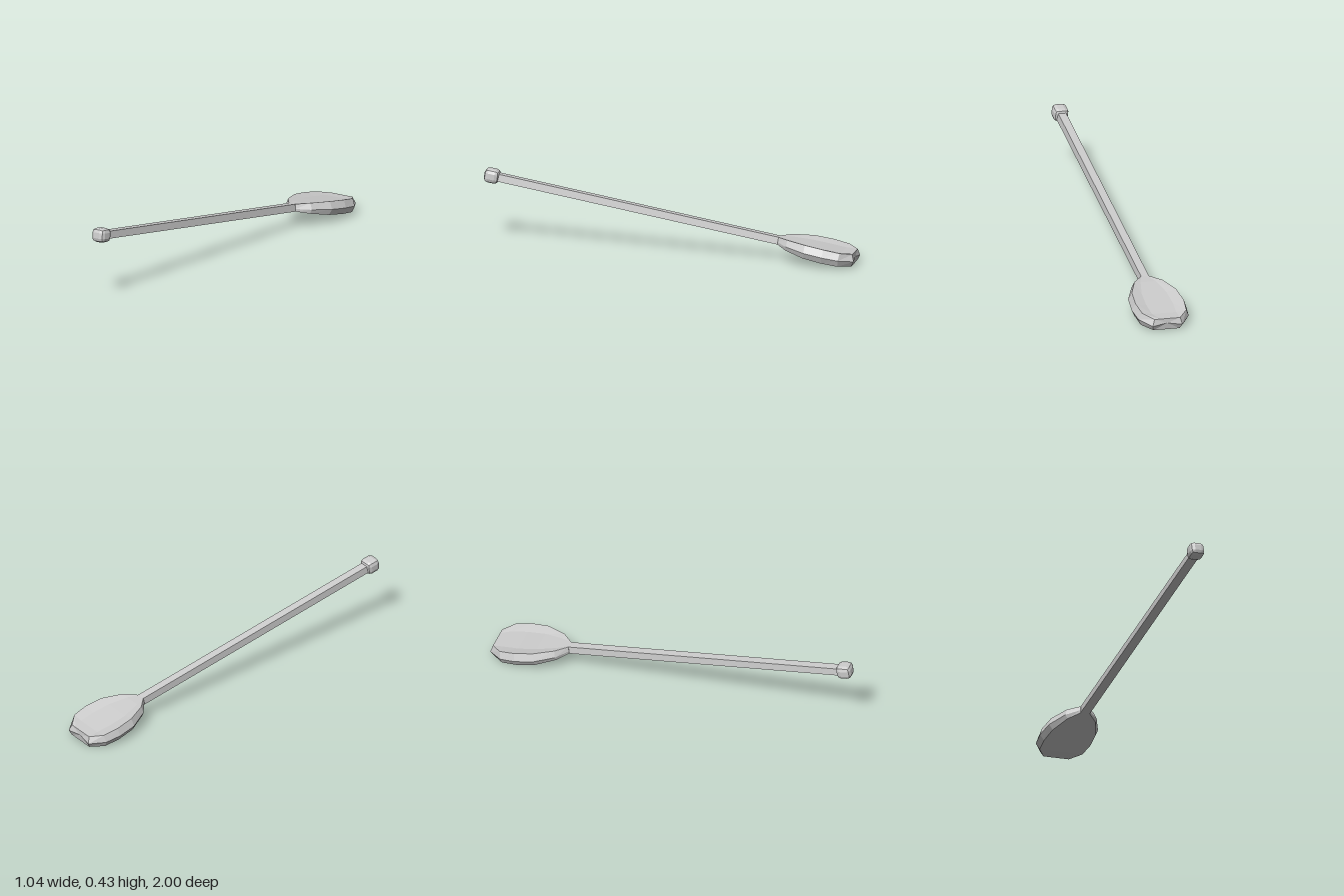
import * as THREE from 'three';
import { RoundedBoxGeometry } from 'three/addons/geometries/RoundedBoxGeometry.js';

const material = new THREE.MeshStandardMaterial({ color: 0xcccccc, flatShading: true });

// Skin a row of rings (counter-clockwise seen from +z, running towards -z) and cap both ends
function loft(rings) {
  const n = rings[0].length, last = rings.length - 1;
  const pos = [], index = [];
  rings.forEach(r => r.forEach(p => pos.push(...p)));
  for (let i = 0; i < last; i++) for (let j = 0; j < n; j++) {
    const k = (j + 1) % n, a = i * n, b = a + n;
    index.push(a + j, b + j, b + k, a + j, b + k, a + k);
  }
  for (const i of [0, last]) {
    const centre = pos.length / 3;
    pos.push(...[0, 1, 2].map(c => rings[i].reduce((s, p) => s + p[c], 0) / n));
    for (let j = 0; j < n; j++) {
      const a = i * n + j, b = i * n + (j + 1) % n;
      index.push(centre, i ? b : a, i ? a : b);
    }
  }
  const g = new THREE.BufferGeometry();
  g.setAttribute('position', new THREE.Float32BufferAttribute(pos, 3));
  g.setIndex(index);
  const flat = g.toNonIndexed();
  flat.computeVertexNormals();
  return flat;
}

// Bowl cross-section: dished top, widest at the waist, flat underside
function bowlRing([t, w, top, bottom, dent, inset, slant]) {
  const rim = w - inset, low = w * 0.88;
  const half = [[rim * 0.55, top - dent, -t + slant], [rim, top, -t + slant]];
  const under = [[w, -0.006, -t], [low, bottom, -t + slant * 0.6]];
  const flip = ([x, y, z]) => [-x, y, z];
  return [half[1], half[0], flip(half[0]), flip(half[1]),
    flip(under[0]), flip(under[1]), under[1], under[0]];
}

export function createModel() {
  const model = new THREE.Group();
  const spoon = new THREE.Group();
  spoon.name = 'spoon';
  model.add(spoon);
  const add = (name, geometry) => {
    const mesh = new THREE.Mesh(geometry, material);
    mesh.name = name;
    spoon.add(mesh);
    return mesh;
  };

  // Straight handle, a little wider underneath
  const handleRing = z => [[0.023, 0.021, z], [-0.023, 0.021, z], [-0.028, -0.021, z], [0.028, -0.021, z]];
  add('handle', loft([handleRing(1.06), handleRing(-0.61)]));

  // Chamfered knob at the end of the handle
  add('knob', new RoundedBoxGeometry(0.086, 0.08, 0.086, 1, 0.024)).position.z = 1.076;

  // Bowl: distance along, half width, top, bottom, dent, rim inset, end slant
  const stations = [
    [0.605, 0.029, 0.021, -0.021, 0, 0.006, 0],
    [0.667, 0.096, 0.031, -0.030, 0.006, 0.014, 0],
    [0.780, 0.150, 0.038, -0.040, 0.012, 0.018, 0],
    [0.890, 0.161, 0.038, -0.043, 0.013, 0.018, 0],
    [0.983, 0.149, 0.035, -0.043, 0.010, 0.018, 0],
    [1.064, 0.088, 0.030, -0.038, 0, 0.012, 0.018],
  ];
  add('bowl', loft(stations.map(bowlRing)));

  // Lean the whole spoon: bowl low at the back, knob high at the front
  const forward = new THREE.Vector3(0.423, -0.164, -0.906).normalize();
  const side = new THREE.Vector3(0.906, 0, 0.423).normalize();
  const back = forward.clone().negate();
  const up = back.clone().cross(side);
  spoon.quaternion.setFromRotationMatrix(new THREE.Matrix4().makeBasis(side, up, back));
  spoon.rotateZ(0.06);
  spoon.position.set(-0.025, 0.221, -0.012);
  return model;
}
